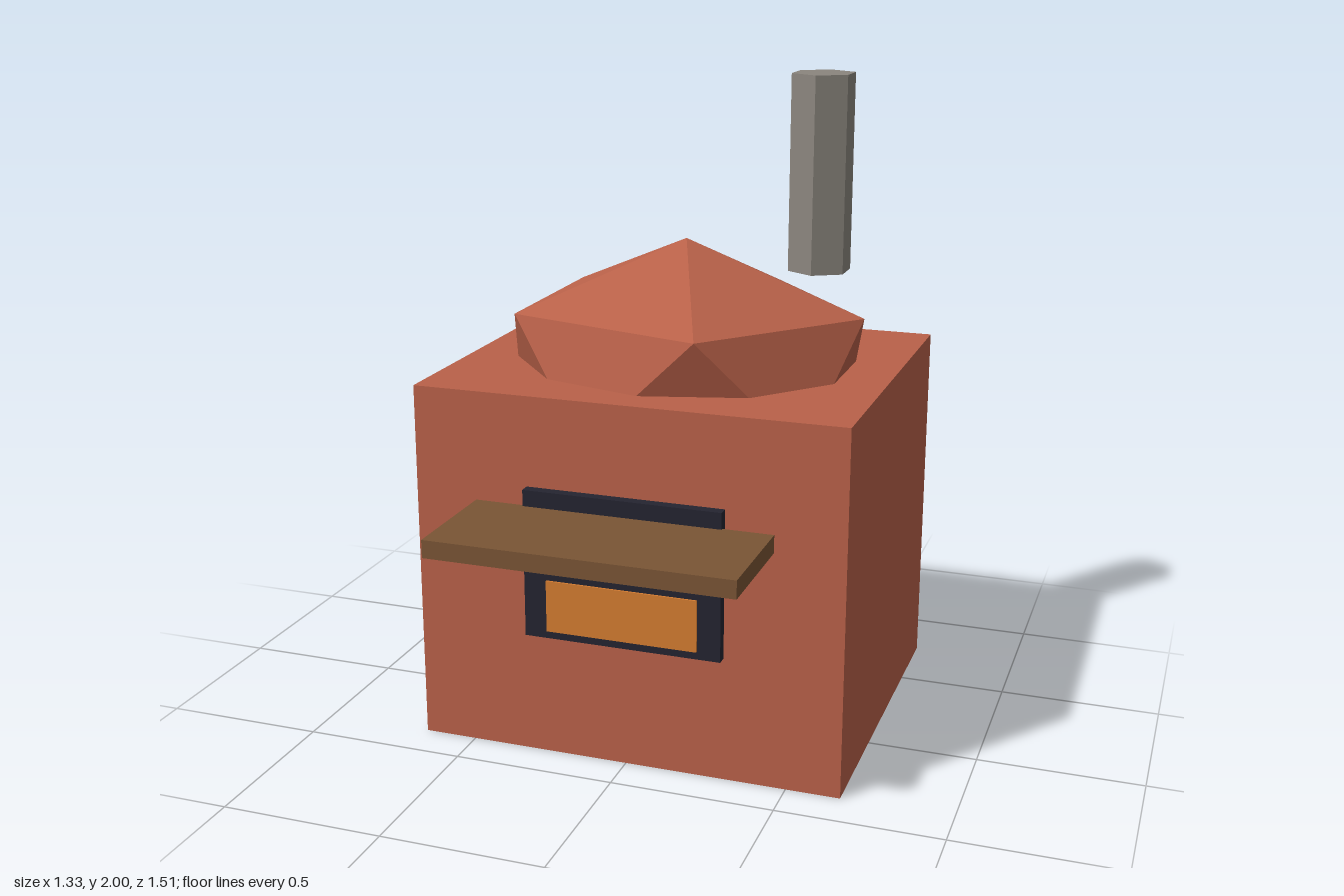
import * as THREE from 'three';
import { ConvexGeometry } from 'three/addons/geometries/ConvexGeometry.js';

function material(name, color) {
  const m = new THREE.MeshStandardMaterial({ color });
  m.name = name;
  return m;
}

export function createModel() {
  const group = new THREE.Group();
  group.name = 'brickOven';
  const brick = material('brick', 0xb96149);
  const soot = material('soot', 0x242430);
  const ember = material('ember', 0xd47c30);
  const wood = material('wood', 0x7a5535);
  const stone = material('stone', 0x8b867e);

  function add(name, geometry, mat) {
    const mesh = new THREE.Mesh(geometry, mat);
    mesh.name = name;
    group.add(mesh);
    return mesh;
  }

  // Box given by its lower and upper limits
  function box(name, mat, [x0, y0, z0], [x1, y1, z1]) {
    const mesh = add(name, new THREE.BoxGeometry(x1 - x0, y1 - y0, z1 - z0), mat);
    mesh.position.set((x0 + x1) / 2, (y0 + y1) / 2, (z0 + z1) / 2);
  }

  box('body', brick, [-0.665, 0, -0.755], [0.665, 1.127, 0.37]);
  box('ovenMouth', soot, [-0.306, 0.39, 0.3], [0.306, 0.85, 0.403]);
  box('fireGlow', ember, [-0.235, 0.414, 0.401], [0.235, 0.575, 0.409]);
  box('shelf', wood, [-0.459, 0.746, 0.395], [0.459, 0.8, 0.755]);

  // Faceted dome: a squashed icosahedron standing on a vertex, half sunk in the body
  const points = [new THREE.Vector3(0, 1, 0), new THREE.Vector3(0, -1, 0)];
  const h = 1 / Math.sqrt(5);
  for (let i = 0; i < 10; i++) {
    const a = (i * Math.PI) / 5;
    points.push(new THREE.Vector3(2 * h * Math.cos(a), i % 2 ? -h : h, 2 * h * Math.sin(a)));
  }
  points.forEach((p) => p.multiply(new THREE.Vector3(0.632, 0.383, 0.538)));
  add('dome', new ConvexGeometry(points), brick).position.set(0, 1.127, -0.193);

  // Six-sided chimney
  const pipe = new THREE.CylinderGeometry(0.102, 0.102, 0.615, 6).toNonIndexed();
  pipe.computeVertexNormals();
  add('chimney', pipe, stone).position.set(0.357, 1.6925, -0.448);

  return group;
}
